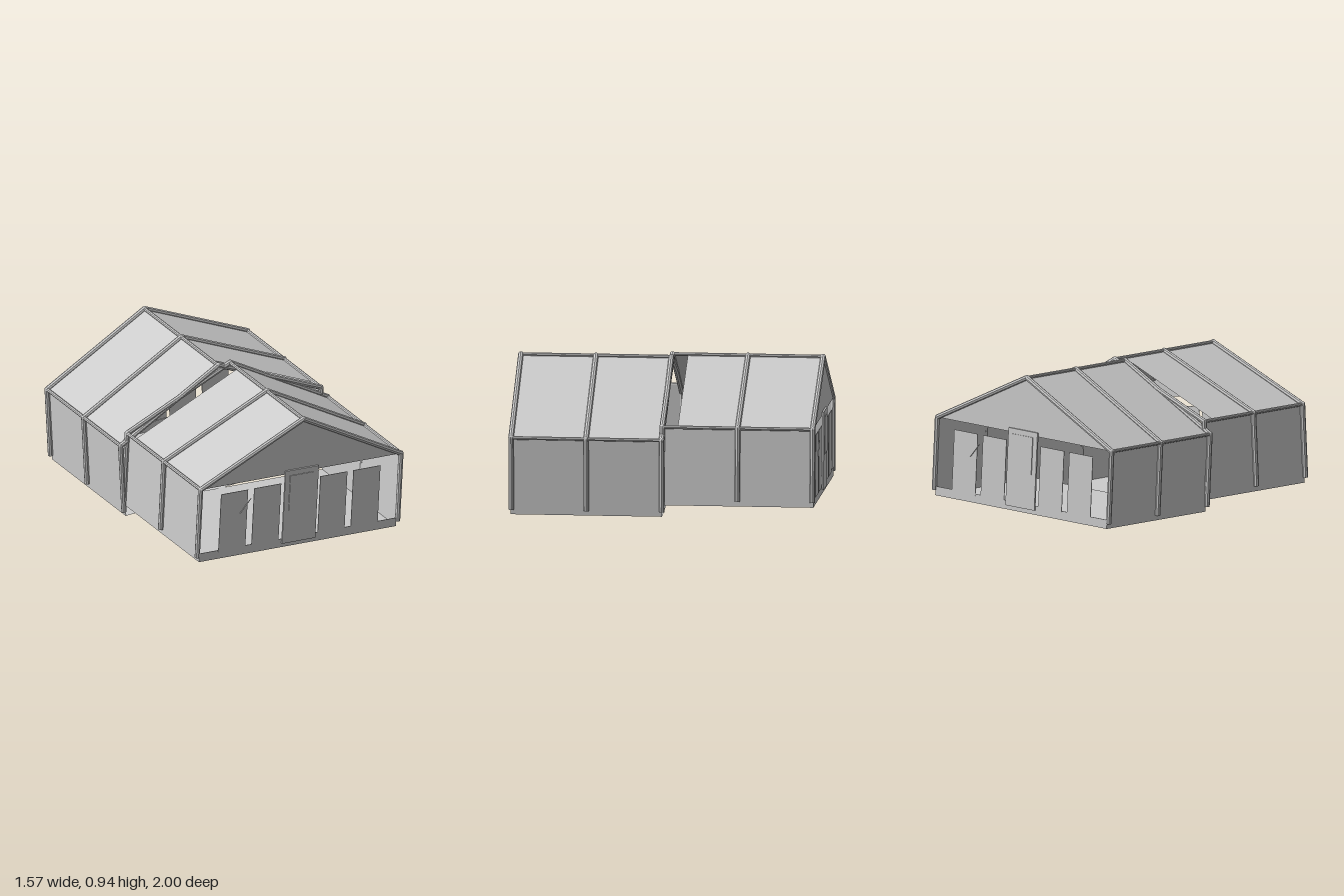
import * as THREE from 'three';

const lightGrey = new THREE.MeshStandardMaterial({ color: 0xcccccc, side: THREE.DoubleSide, flatShading: true });
lightGrey.name = 'light grey';

// Half-width, eave, ridge and floor heights of the tent profile, and its length
const W = 0.742, EAVE = 0.553, RIDGE = 0.925, FLOOR = 0.041, LENGTH = 0.98, SHIFT = -0.005;

function add(parent, name, geometry, x = 0, y = 0, z = 0) {
  const mesh = new THREE.Mesh(geometry, lightGrey);
  mesh.name = name;
  mesh.position.set(x, y, z);
  parent.add(mesh);
  return mesh;
}

// Round bar between two points
function bar(parent, name, a, b, radius) {
  const from = new THREE.Vector3(...a), to = new THREE.Vector3(...b);
  const dir = to.clone().sub(from);
  const mesh = add(parent, name, new THREE.CylinderGeometry(radius, radius, dir.length(), 8));
  mesh.position.copy(from).add(to).multiplyScalar(0.5);
  mesh.quaternion.setFromUnitVectors(new THREE.Vector3(0, 1, 0), dir.normalize());
}

// Flat sheet through four corners
function sheet(parent, name, a, b, c, d) {
  const g = new THREE.BufferGeometry();
  g.setAttribute('position', new THREE.Float32BufferAttribute([...a, ...b, ...c, ...d], 3));
  g.setIndex([0, 1, 2, 0, 2, 3]);
  g.computeVertexNormals();
  add(parent, name, g);
}

// Upright plate given by its left, right, bottom and top edges
function plate(parent, name, x0, x1, y0, y1, z, depth = 0.004) {
  add(parent, name, new THREE.BoxGeometry(x1 - x0, y1 - y0, depth), (x0 + x1) / 2, (y0 + y1) / 2, z);
}

function createTent() {
  const tent = new THREE.Group();
  tent.name = 'tent';
  const inner = 0.73;

  // Three arched frames of posts and rafters
  for (const z of [0, 0.49, 0.977]) {
    const frame = new THREE.Group();
    frame.name = 'archFrame';
    tent.add(frame);
    for (const s of [-1, 1]) {
      bar(frame, 'post', [s * W, 0.075, z], [s * W, EAVE, z], 0.0175);
      bar(frame, 'rafter', [s * W, EAVE, z], [0, RIDGE, z], 0.0175);
      add(frame, 'eaveJoint', new THREE.SphereGeometry(0.018, 8, 6), s * W, EAVE, z);
    }
    add(frame, 'ridgeJoint', new THREE.SphereGeometry(0.018, 8, 6), 0, RIDGE, z);
  }

  // Long bars along the ridge and eaves
  bar(tent, 'ridgeBar', [0, RIDGE, 0], [0, RIDGE, 0.977], 0.012);
  for (const s of [-1, 1]) bar(tent, 'eaveBar', [s * W, EAVE, 0], [s * W, EAVE, 0.977], 0.012);

  // Floor, side walls and roof; the roof on one side stops short
  sheet(tent, 'floor', [-inner, FLOOR, 0], [-inner, FLOOR, LENGTH], [inner, FLOOR, LENGTH], [inner, FLOOR, 0]);
  for (const s of [-1, 1]) {
    const x = s * inner, start = s < 0 ? 0.1 : 0;
    sheet(tent, 'sideWall', [x, FLOOR, 0], [x, EAVE, 0], [x, EAVE, LENGTH], [x, FLOOR, LENGTH]);
    sheet(tent, 'roof', [x, EAVE, start], [0, RIDGE - 0.004, start], [0, RIDGE - 0.004, LENGTH], [x, EAVE, LENGTH]);
  }

  // End wall: gable, sill and separate panels
  const gable = new THREE.Shape([
    new THREE.Vector2(-inner, EAVE), new THREE.Vector2(inner, EAVE), new THREE.Vector2(0, RIDGE - 0.004),
  ]);
  add(tent, 'gable', new THREE.ShapeGeometry(gable), 0, 0, LENGTH);
  plate(tent, 'sill', -inner, inner, FLOOR, 0.1, 0.98);
  for (const x of [-0.49, -0.245, 0.245, 0.49]) plate(tent, 'endPanel', x - 0.1, x + 0.1, 0.088, 0.495, 0.982);

  // Door with a raised window plate
  plate(tent, 'door', -0.123, 0.123, 0.07, 0.581, 0.989, 0.012);
  plate(tent, 'doorWindow', -0.088, 0.088, 0.3, 0.546, 0.997, 0.006);

  // Thin slanted rod beside the first panel
  bar(tent, 'slantedRod', [-0.444, 0.337, 0.988], [-0.369, 0.431, 0.988], 0.003);

  tent.children.forEach((part) => { part.position.x += SHIFT; });
  return tent;
}

export function createModel() {
  const model = new THREE.Group();
  model.name = 'doubleTent';
  // Two halves back to back, each leaning to its own side
  for (const turn of [0, Math.PI]) {
    const half = new THREE.Group();
    half.name = turn ? 'backHalf' : 'frontHalf';
    half.rotation.y = turn;
    const tent = createTent();
    tent.rotation.z = -0.053;
    half.add(tent);
    model.add(half);
  }
  return model;
}
